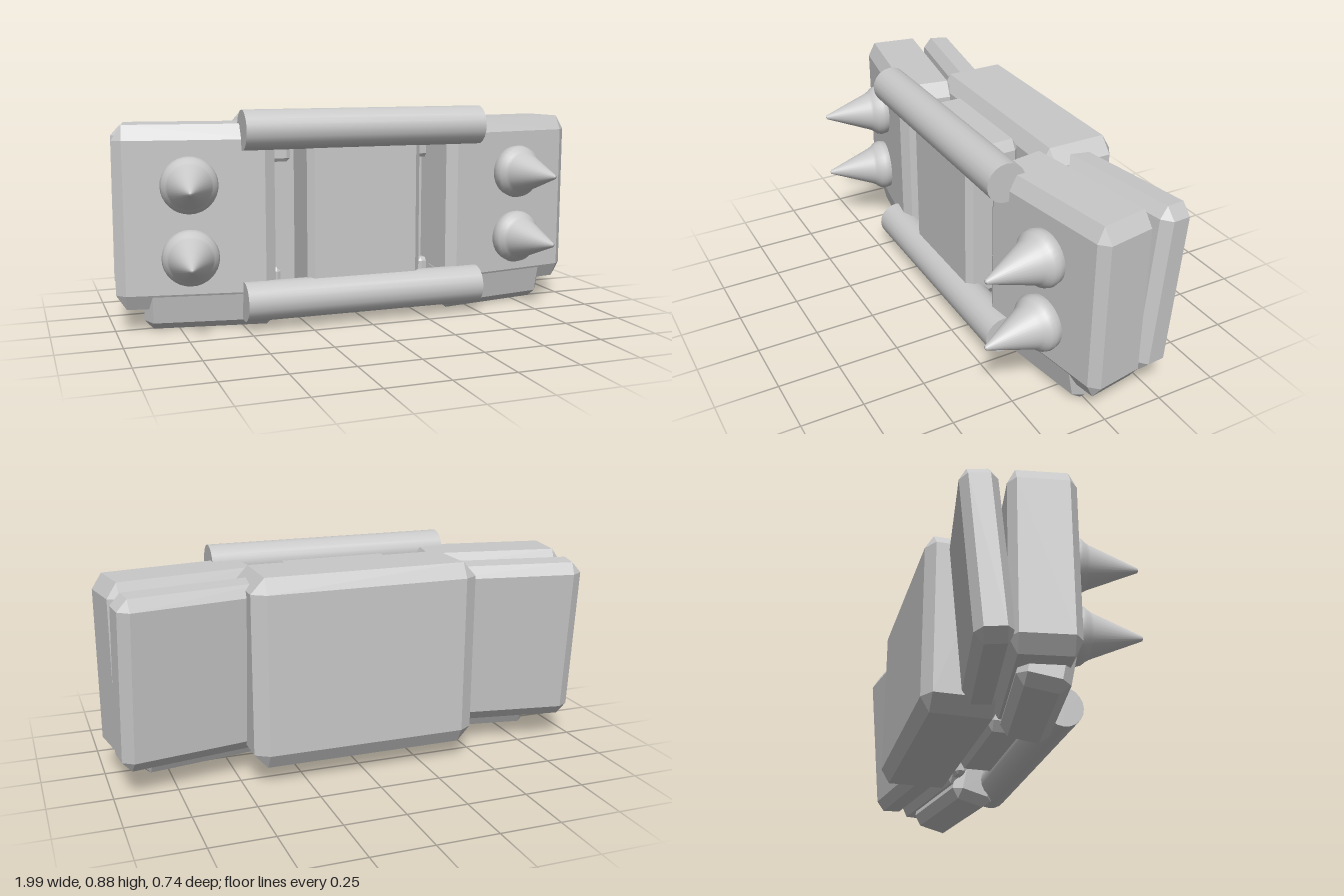
import * as THREE from 'three';
import { ConvexGeometry } from 'three/addons/geometries/ConvexGeometry.js';

const grey = new THREE.MeshStandardMaterial({ color: 0xc8c8c8 });
grey.name = 'light grey';

const YAW = 0.165; // sweep of the side pads

// Box with bevelled edges; cx, cy, cz are the bevel sizes along each axis
function bevelBox(w, h, d, cx, cy, cz) {
  const points = [];
  for (const sx of [-1, 1]) for (const sy of [-1, 1]) for (const sz of [-1, 1]) {
    const x = w / 2, y = h / 2, z = d / 2;
    points.push(
      new THREE.Vector3(sx * x, sy * (y - cy), sz * (z - cz)),
      new THREE.Vector3(sx * (x - cx), sy * y, sz * (z - cz)),
      new THREE.Vector3(sx * (x - cx), sy * (y - cy), sz * z));
  }
  return new ConvexGeometry(points);
}

export function createModel() {
  const model = new THREE.Group();
  model.name = 'spikedArmour';

  function add(name, geometry, x, y, z, rx = 0, ry = 0) {
    const mesh = new THREE.Mesh(geometry, grey);
    mesh.name = name;
    mesh.position.set(x, y, z);
    mesh.rotation.set(rx, ry, 0, 'YXZ');
    model.add(mesh);
    return mesh;
  }

  // Central plates
  add('backPlate', bevelBox(0.93, 0.76, 0.31, 0.055, 0.06, 0.035), 0, 0.46, -0.215);
  add('frontPlate', bevelBox(0.49, 0.7, 0.235, 0.025, 0.04, 0.025), 0, 0.46, 0.05);

  // Horizontal bars
  const bar = new THREE.CylinderGeometry(0.08, 0.08, 1.02, 20).rotateZ(Math.PI / 2);
  add('upperBar', bar, 0, 0.802, 0.15);
  add('lowerBar', bar, 0, 0.118, 0.15);

  // Spike profile, turned to point forward
  const spike = new THREE.LatheGeometry([
    [0, -0.03], [0.095, -0.03], [0.108, -0.012], [0.113, 0.015], [0.107, 0.035],
    [0.093, 0.052], [0.085, 0.065], [0.009, 0.258], [0, 0.262],
  ].map(([r, y]) => new THREE.Vector2(r, y)), 32).rotateX(Math.PI / 2);

  const sidePad = bevelBox(0.63, 0.73, 0.25, 0.04, 0.06, 0.03);
  const rearPad = bevelBox(0.66, 0.69, 0.14, 0.04, 0.045, 0.03);
  const lowerPad = bevelBox(0.525, 0.2, 0.19, 0.035, 0.04, 0.035);
  const bracket = bevelBox(0.16, 0.09, 0.045, 0.015, 0.015, 0.01);

  // Side armour, mirrored
  for (const [s, side] of [[1, 'left'], [-1, 'right']]) {
    add(side + 'FrontPad', sidePad, s * 0.67, 0.46, -0.016, 0, s * YAW);
    add(side + 'RearPad', rearPad, s * 0.64, 0.462, -0.213, -0.092, s * YAW);
    add(side + 'LowerPad', lowerPad, s * 0.62, 0.114, 0.01, 0.2, s * YAW);
    add(side + 'UpperBracket', bracket, s * 0.345, 0.7, -0.045, 0, s * YAW);
    add(side + 'LowerBracket', bracket, s * 0.39, 0.165, -0.045, 0, s * YAW);
    for (const y of [0.592, 0.306]) {
      add(side + 'Spike', spike, s * 0.714, y, 0.115, 0, s * YAW);
    }
  }
  return model;
}
